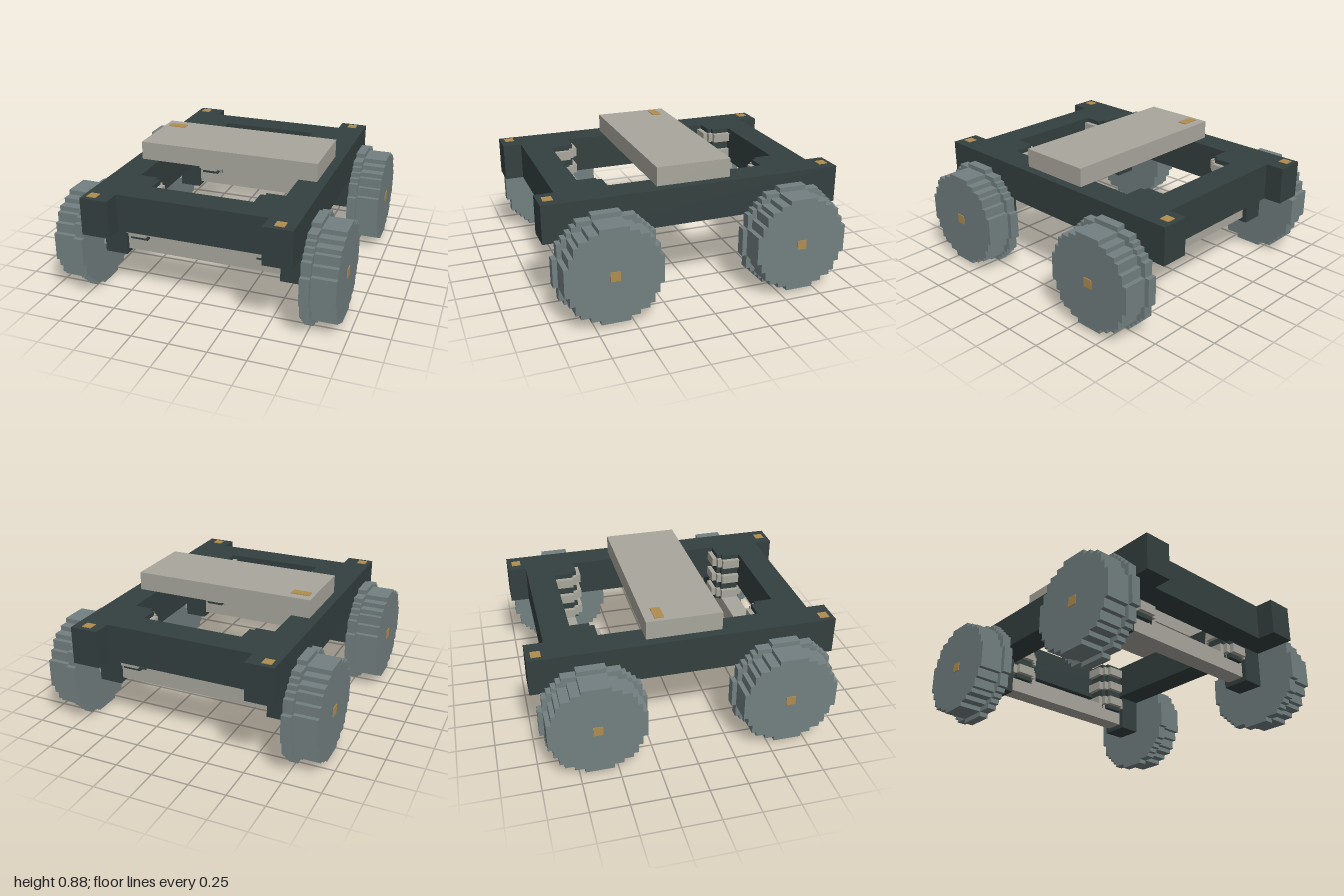
import * as THREE from 'three';

const V = 1 / 32; // block unit; all sizes below are in blocks

function makeMaterial(name, color) {
  const m = new THREE.MeshStandardMaterial({ color });
  m.name = name;
  return m;
}

// Stepped round outline of a blocky disc with radius r
function steppedCircle(r) {
  const half = j => Math.floor(Math.sqrt(r * r - (j + 0.5) ** 2) + 0.5);
  const right = [];
  for (let j = -r; j < r; j++) {
    if (j === -r || half(j) !== half(j - 1)) {
      if (j > -r) right.push([half(j - 1), j]);
      right.push([half(j), j]);
    }
  }
  right.push([half(r - 1), r]);
  const left = right.map(([x, y]) => [-x, y]).reverse();
  return new THREE.Shape([...right, ...left].map(([x, y]) => new THREE.Vector2(x * V, y * V)));
}

// Disc centred on its own middle, axis along z
function discGeometry(r, thickness) {
  const g = new THREE.ExtrudeGeometry(steppedCircle(r), { depth: thickness * V, bevelEnabled: false });
  g.translate(0, 0, -thickness * V / 2);
  return g;
}

export function createModel() {
  const model = new THREE.Group();
  model.name = 'cartChassis';

  const frameDark = makeMaterial('frameDark', 0x34403f);
  const wheelSteel = makeMaterial('wheelSteel', 0x727f80);
  const paleMetal = makeMaterial('paleMetal', 0xa8a69c);
  const brass = makeMaterial('brass', 0xb08d4f);

  const add = (name, geometry, material, x, y, z, parent = model) => {
    const mesh = new THREE.Mesh(geometry, material);
    mesh.name = name;
    mesh.position.set(x * V, y * V, z * V);
    parent.add(mesh);
    return mesh;
  };
  // Box given by its low and high corners
  const box = (name, material, [x0, y0, z0], [x1, y1, z1], parent) =>
    add(name, new THREE.BoxGeometry((x1 - x0) * V, (y1 - y0) * V, (z1 - z0) * V), material,
      (x0 + x1) / 2, (y0 + y1) / 2, (z0 + z1) / 2, parent);

  const PLATE = 0.15; // thickness of painted marks

  // Deck plate with its mark
  box('deckPlate', paleMetal, [-20, 24, -8], [20, 28, 8]);
  box('deckMark', brass, [-19, 28, -6], [-15, 28 + PLATE, -4]);

  // Side rails
  for (const s of [-1, 1]) {
    const [a, b] = [16 * s, 22 * s].sort((p, q) => p - q);
    box(s > 0 ? 'leftRail' : 'rightRail', frameDark, [a, 16, -32], [b, 24, 32]);
  }

  // Cross beams and axles
  for (const s of [-1, 1]) {
    const end = s > 0 ? 'front' : 'rear';
    add(end + 'CrossBeam', new THREE.BoxGeometry(32 * V, 8 * V, 6 * V), frameDark, 0, 20, 25 * s);
    add(end + 'Axle', new THREE.BoxGeometry(46 * V, 4 * V, 4 * V), paleMetal, 0, 11, 20 * s);
    // Corner bolts on the rails
    for (const x of [-20, 19]) {
      add(end + 'RailBolt', new THREE.BoxGeometry(2 * V, PLATE * V, 2 * V), brass, x, 24 + PLATE / 2, 30 * s);
    }
  }

  const tyre = discGeometry(10, 5).rotateY(Math.PI / 2);
  const flange = discGeometry(11, 2).rotateY(Math.PI / 2);
  const hub = new THREE.BoxGeometry(PLATE * V, 2 * V, 2 * V);
  const core = discGeometry(3, 12).rotateX(Math.PI / 2);
  const coil = discGeometry(4, 2).rotateX(Math.PI / 2);
  const hanger = new THREE.BoxGeometry(5 * V, 8 * V, 6 * V);

  // Wheel, axle hanger and spring at each corner
  for (const sx of [-1, 1]) {
    for (const sz of [-1, 1]) {
      const corner = (sz > 0 ? 'front' : 'rear') + (sx > 0 ? 'Left' : 'Right');
      const z = 20 * sz;

      const wheel = new THREE.Group();
      wheel.name = corner + 'Wheel';
      model.add(wheel);
      add('tread', tyre, wheelSteel, 27.5 * sx, 11, z, wheel);
      add('flange', flange, wheelSteel, 24 * sx, 11, z, wheel);
      add('hubCap', hub, brass, (30 + PLATE / 2) * sx, 11, z, wheel);

      add(corner + 'AxleHanger', hanger, frameDark, 19.5 * sx, 12, z);

      const spring = new THREE.Group();
      spring.name = corner + 'Spring';
      model.add(spring);
      add('springCore', core, frameDark, 14 * sx, 18, z, spring);
      for (const y of [14, 18, 22]) add('springCoil', coil, paleMetal, 14 * sx, y, z, spring);
    }
  }

  return model;
}
